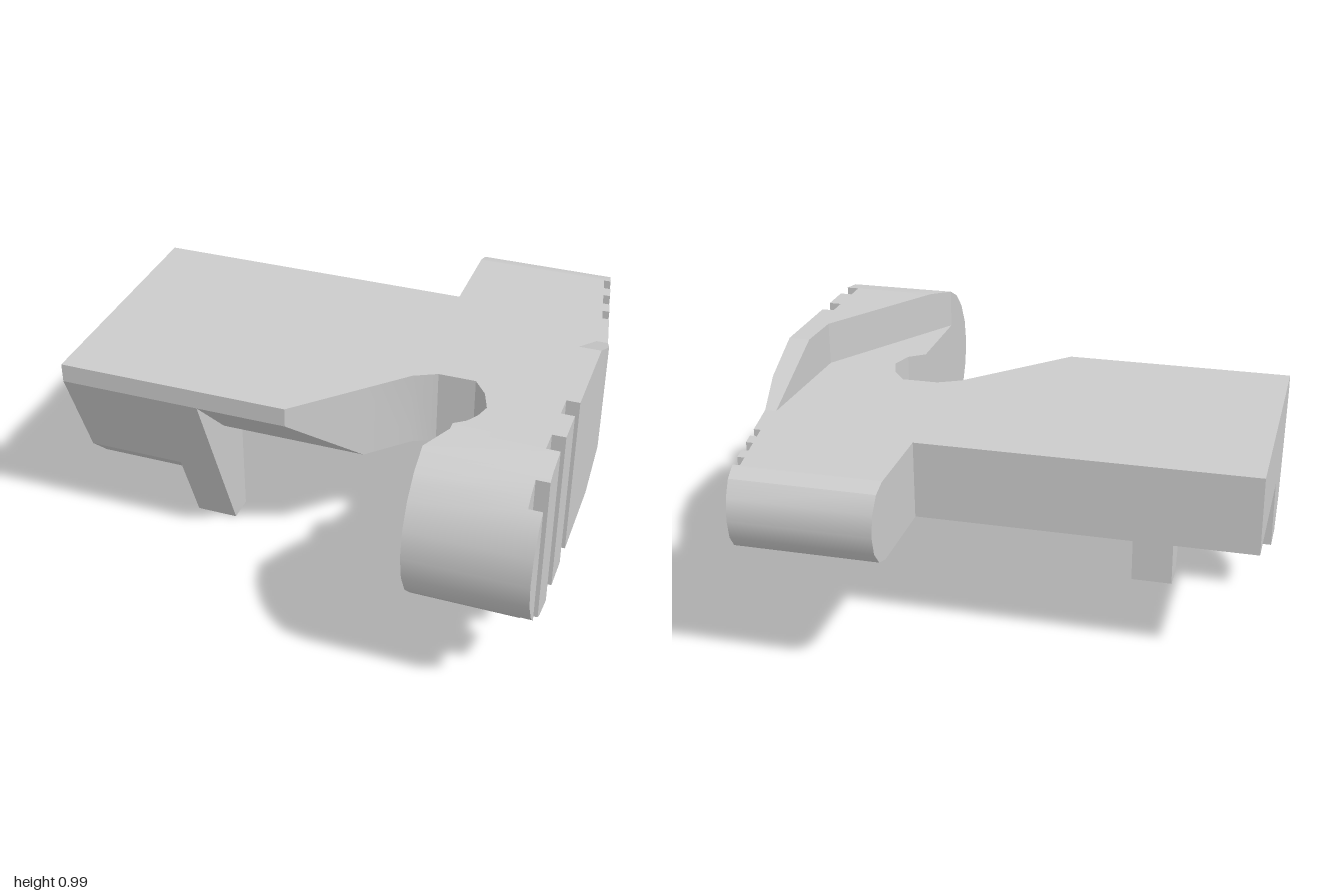
import * as THREE from 'three';
import { toCreasedNormals } from 'three/addons/utils/BufferGeometryUtils.js';

const MID = 0.663, LOW = 0.51, TOP = 0.817;
const material = new THREE.MeshStandardMaterial({ color: 0xcccccc });

// Piecewise linear lookup in a list of [z, value] pairs
function at(table, z) {
  if (typeof table === 'number') return table;
  if (z <= table[0][0]) return table[0][1];
  for (let i = 1; i < table.length; i++) {
    const [z0, v0] = table[i - 1], [z1, v1] = table[i];
    if (z <= z1) return v0 + (v1 - v0) * (z - z0) / (z1 - z0);
  }
  return table[table.length - 1][1];
}

// Rectangular cross-sections swept along z, with optional grooves in the +x side
function loft(name, z0, z1, { left, right, bottom, top, grooves = [], depth = 0, crease = 0.42 }) {
  const stations = new Set([z0, z1, ...grooves.flat()]);
  for (const t of [left, right, bottom, top]) {
    if (Array.isArray(t)) t.forEach(([z]) => { if (z > z0 && z < z1) stations.add(z); });
  }
  const zs = [...stations].sort((a, b) => a - b);
  const rings = [];
  const addRing = (z, cut) => {
    const l = at(left, z), r = at(right, z) - cut, b = at(bottom, z), t = at(top, z);
    const last = rings[rings.length - 1];
    if (last && last[1][0] === r && last[0][2] === z) return;
    rings.push([[l, b, z], [r, b, z], [r, t, z], [l, t, z]]);
  };
  for (let i = 0; i + 1 < zs.length; i++) {
    const m = (zs[i] + zs[i + 1]) / 2;
    const cut = grooves.some(([a, b]) => m > a && m < b) ? depth : 0;
    addRing(zs[i], cut);
    addRing(zs[i + 1], cut);
  }
  const pos = [], tri = new THREE.Triangle();
  const face = (a, b, c) => {
    tri.a.fromArray(a); tri.b.fromArray(b); tri.c.fromArray(c);
    if (tri.getArea() > 1e-8) pos.push(...a, ...b, ...c);
  };
  const quad = (a, b, c, d) => { face(a, b, c); face(a, c, d); };
  for (let i = 0; i + 1 < rings.length; i++) {
    const p = rings[i], q = rings[i + 1];
    for (let k = 0; k < 4; k++) quad(p[k], p[(k + 1) % 4], q[(k + 1) % 4], q[k]);
  }
  const [s, e] = [rings[0], rings[rings.length - 1]];
  quad(s[0], s[3], s[2], s[1]);
  quad(e[0], e[1], e[2], e[3]);
  const g = new THREE.BufferGeometry();
  g.setAttribute('position', new THREE.Float32BufferAttribute(pos, 3));
  return mesh(name, toCreasedNormals(g, crease));
}

function mesh(name, geometry) {
  const m = new THREE.Mesh(geometry, material);
  m.name = name;
  return m;
}

// Side profile of [z, y] points extruded across x
function sideExtrude(name, points, x0, x1) {
  const shape = new THREE.Shape(points.map(([z, y]) => new THREE.Vector2(z, y)));
  const g = new THREE.ExtrudeGeometry(shape, { depth: x1 - x0, bevelEnabled: false });
  g.rotateY(-Math.PI / 2).translate(x1, 0, 0);
  return mesh(name, g);
}

// Quarter-round half heights from the flat (zFlat) to the tip
function roundEnd(zFlat, length, half, steps) {
  return Array.from({ length: steps + 1 }, (_, i) => {
    const a = i / steps * Math.PI / 2;
    return [zFlat + length * Math.sin(a), Math.max(half * Math.cos(a), 0.003)];
  });
}
const offset = (table, sign) => table.map(([z, h]) => [z, MID + sign * h]);

export function createModel() {
  const group = new THREE.Group();
  const outerEdge = [[-1, 0.851], [-0.2, 0.992], [1, 0.992]];

  // Main plate and the two lobes around the hooked notch
  group.add(loft('plate', -0.52, 0.083, {
    left: -0.998, right: outerEdge, bottom: LOW, top: TOP }));
  group.add(loft('plateFront', 0.083, 0.507, {
    left: -0.998,
    right: [[0.083, 0.397], [0.128, 0.307], [0.507, -0.07]],
    bottom: [[0.275, LOW], [0.507, 0.74]], top: TOP, crease: 0.55 }));
  group.add(loft('paddleWeb', 0.083, 0.77, {
    left: [[0.083, 0.545], [0.155, 0.6], [0.245, 0.632], [0.336, 0.605], [0.384, 0.541], [0.77, 0.541]],
    right: [[0.19, 0.905], [0.77, 0.545]],
    bottom: LOW, top: TOP, crease: 0.6 }));

  // Rounded rear tab with fine grip notches
  const tabHalf = [...roundEnd(-0.87, -0.13, TOP - MID, 3).reverse(), [-0.52, TOP - MID]];
  group.add(loft('rearTab', -1, -0.52, {
    left: 0.307, right: outerEdge,
    bottom: offset(tabHalf, -1), top: offset(tabHalf, 1),
    grooves: [[-0.86, -0.795], [-0.735, -0.665], [-0.605, -0.545]], depth: 0.028, crease: 0.55 }));

  // Tall thumb paddle with broad grooves
  const paddleHalf = [[-0.36, TOP - MID], [-0.01, 0.328], ...roundEnd(0.67, 0.328, 0.328, 5)];
  group.add(loft('paddle', -0.36, 0.998, {
    left: [[-0.36, 0.918], [0.19, 0.9], [0.77, 0.541], [1, 0.541]],
    right: outerEdge,
    bottom: offset(paddleHalf, -1), top: offset(paddleHalf, 1),
    grooves: [[0.36, 0.447], [0.583, 0.67], [0.807, 0.893]], depth: 0.05 }));

  // Underside skirt and pointed leg, sharing the same sloped front
  group.add(sideExtrude('skirt',
    [[0.1, 0.6], [0.1, 0.235], [0.24, 0.235], [0.343, 0.335], [0.507, 0.74]], -0.998, -0.6));
  group.add(sideExtrude('leg',
    [[0.1, 0.6], [0.1, 0], [0.207, 0], [0.343, 0.335], [0.507, 0.74]], -0.6, -0.43));
  return group;
}
